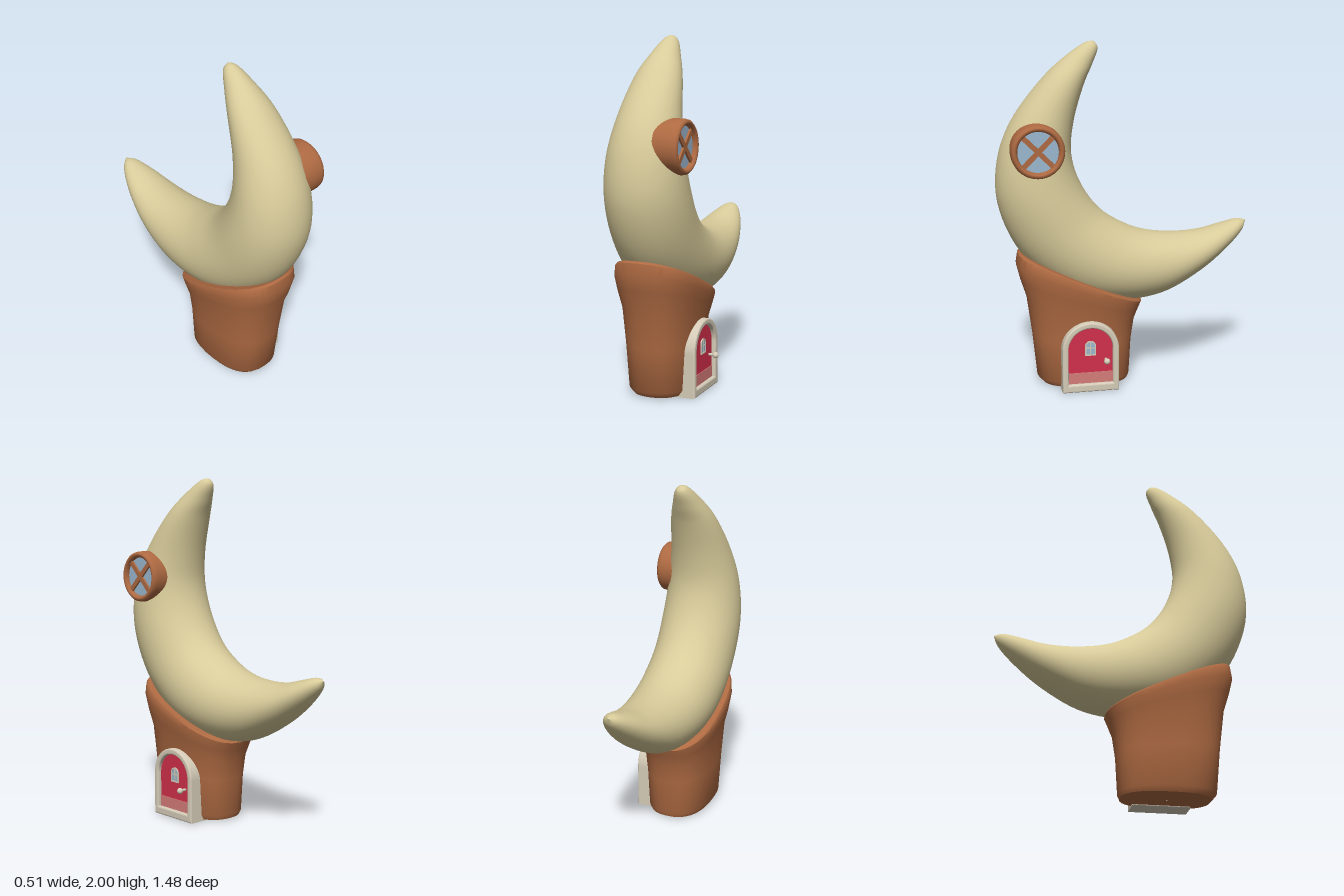
import * as THREE from 'three';
import { toCreasedNormals } from 'three/addons/utils/BufferGeometryUtils.js';

const paint = (name, color) => {
  const m = new THREE.MeshStandardMaterial({ color });
  m.name = name;
  return m;
};

// Skin over tilted oval rings; each ring is { a, b, rx, x }: two opposite points in the y-z plane and a half width
function loft(rings, sides, power = 1) {
  const pos = [], index = [];
  const bend = (v) => Math.sign(v) * Math.pow(Math.abs(v), power);
  rings.forEach(({ a, b, rx, x }) => {
    const cy = (a[1] + b[1]) / 2, cz = (a[0] + b[0]) / 2;
    for (let j = 0; j < sides; j++) {
      const t = (j / sides) * Math.PI * 2;
      const u = bend(Math.cos(t));
      pos.push(x + rx * bend(Math.sin(t)), cy + (a[1] - cy) * u, cz + (a[0] - cz) * u);
    }
  });
  for (let i = 0; i < rings.length - 1; i++) {
    for (let j = 0; j < sides; j++) {
      const k = (j + 1) % sides, p = i * sides, q = p + sides;
      index.push(p + j, q + j, p + k, q + j, q + k, p + k);
    }
  }
  const g = new THREE.BufferGeometry();
  g.setAttribute('position', new THREE.Float32BufferAttribute(pos, 3));
  g.setIndex(index);
  g.computeVertexNormals();
  return g;
}

// Doorway outline: straight sides with a round head
function arch(half, bottom, spring, Kind = THREE.Shape) {
  const s = new Kind();
  s.moveTo(-half, bottom);
  s.lineTo(half, bottom);
  s.lineTo(half, spring);
  s.absarc(0, spring, half, 0, Math.PI, false);
  s.closePath();
  return s;
}

export function createModel() {
  const moonMat = paint('pale yellow', 0xd8cb9a);
  const woodMat = paint('brown wood', 0xae6a42);
  const redMat = paint('door red', 0xd2304b);
  const pinkMat = paint('faded pink', 0xd57c78);
  const creamMat = paint('cream', 0xd6ccb8);
  const glassMat = paint('glass blue', 0x9cb8d0);

  const model = new THREE.Group();
  const add = (parent, name, geometry, material, x = 0, y = 0, z = 0) => {
    const m = new THREE.Mesh(geometry, material);
    m.name = name;
    m.position.set(x, y, z);
    parent.add(m);
    return m;
  };
  const extrude = (shape, depth, bevel = 0) => new THREE.ExtrudeGeometry(shape, {
    depth, curveSegments: 20, bevelEnabled: bevel > 0, bevelSize: bevel, bevelThickness: bevel, bevelSegments: 3,
  });

  // Crescent: outer z, y, inner z, y, half width
  const sections = [
    [0.172, 2.0, 0.168, 1.998, 0.002],
    [0.215, 1.993, 0.148, 1.965, 0.035],
    [0.34, 1.91, 0.18, 1.87, 0.085],
    [0.46, 1.8, 0.225, 1.77, 0.13],
    [0.645, 1.557, 0.29, 1.55, 0.18],
    [0.724, 1.345, 0.305, 1.37, 0.215],
    [0.73, 1.1, 0.25, 1.19, 0.235],
    [0.607, 0.804, 0.14, 1.037, 0.237],
    [0.36, 0.575, 0.0, 0.942, 0.237],
    [0.08, 0.49, -0.125, 0.894, 0.225],
    [-0.2, 0.51, -0.3, 0.872, 0.195],
    [-0.44, 0.63, -0.46, 0.88, 0.155],
    [-0.62, 0.77, -0.6, 0.915, 0.1],
    [-0.715, 0.87, -0.69, 0.935, 0.045],
    [-0.737, 0.922, -0.734, 0.926, 0.002],
  ];
  const outer = new THREE.CatmullRomCurve3(sections.map((s) => new THREE.Vector3(s[4], s[1], s[0])));
  const inner = new THREE.CatmullRomCurve3(sections.map((s) => new THREE.Vector3(0, s[3], s[2])));
  const moonRings = [];
  for (let i = 0; i <= 84; i++) {
    const o = outer.getPoint(i / 84), n = inner.getPoint(i / 84);
    moonRings.push({ a: [o.z, o.y], b: [n.z, n.y], rx: Math.max(o.x, 0.001), x: -0.018 });
  }
  add(model, 'crescentMoon', loft(moonRings, 40), moonMat);

  // Trunk, from the closed slanted top down to the floor: front z, y, back z, y, half width
  const trunkRings = [
    [0.27, 0.652, 0.25, 0.644, 0.01],
    [0.61, 0.805, -0.095, 0.49, 0.23],
    [0.622, 0.795, -0.1, 0.482, 0.237],
    [0.632, 0.73, -0.095, 0.47, 0.237],
    [0.61, 0.64, -0.078, 0.43, 0.225],
    [0.575, 0.53, -0.055, 0.37, 0.205],
    [0.545, 0.3, -0.037, 0.25, 0.193],
    [0.52, 0.045, -0.025, 0.035, 0.182],
    [0.49, 0.01, -0.015, 0.01, 0.165],
    [0.25, 0.01, 0.24, 0.01, 0.005],
  ].map(([az, ay, bz, by, rx]) => ({ a: [az, ay], b: [bz, by], rx, x: -0.018 }));
  add(model, 'trunkBase', toCreasedNormals(loft(trunkRings, 36, 0.8), 0.7), woodMat);

  // Door on the left side, drawn facing +z and turned to +x
  const door = new THREE.Group();
  door.name = 'door';
  door.rotation.y = Math.PI / 2;
  door.position.z = 0.235;
  model.add(door);
  const frame = arch(0.155, 0.012, 0.257);
  frame.holes.push(arch(0.14, 0.04, 0.257, THREE.Path));
  add(door, 'doorFrame', extrude(frame, 0.12, 0.01), creamMat, 0, 0, 0.09);
  add(door, 'doorLeaf', extrude(arch(0.145, 0.02, 0.257), 0.105), redMat, 0, 0, 0.09);
  add(door, 'doorKickPlate', new THREE.BoxGeometry(0.268, 0.088, 0.006), pinkMat, 0, 0.071, 0.196);

  // Small arched window in the door
  const peepFrame = arch(0.032, 0.218, 0.275);
  peepFrame.holes.push(arch(0.025, 0.225, 0.275, THREE.Path));
  add(door, 'doorWindowFrame', extrude(peepFrame, 0.008), creamMat, 0, 0, 0.194);
  add(door, 'doorWindowGlass', extrude(arch(0.027, 0.223, 0.275), 0.004), glassMat, 0, 0, 0.194);
  add(door, 'doorWindowBar', new THREE.BoxGeometry(0.006, 0.075, 0.006), creamMat, 0, 0.262, 0.198);
  add(door, 'doorWindowBar', new THREE.BoxGeometry(0.05, 0.006, 0.006), creamMat, 0, 0.264, 0.198);

  // Door knob
  add(door, 'doorKnob', new THREE.SphereGeometry(0.018, 20, 14), creamMat, 0.09, 0.19, 0.237);
  const stem = add(door, 'knobStem', new THREE.CylinderGeometry(0.008, 0.008, 0.04, 12), creamMat, 0.09, 0.19, 0.212);
  stem.rotation.x = Math.PI / 2;

  // Round window with a rounded rim and crossed bars
  const porthole = new THREE.Group();
  porthole.name = 'roundWindow';
  porthole.rotation.y = Math.PI / 2;
  porthole.position.set(0, 1.422, 0.518);
  model.add(porthole);
  const rimProfile = [
    [0.146, 0.09], [0.15, 0.15], [0.15, 0.205], [0.146, 0.225], [0.136, 0.235],
    [0.126, 0.234], [0.117, 0.225], [0.114, 0.21], [0.114, 0.15],
  ].map(([r, d]) => new THREE.Vector2(r, d));
  const rim = add(porthole, 'windowRim', new THREE.LatheGeometry(rimProfile, 48), woodMat);
  rim.rotation.x = Math.PI / 2;
  rim.material.side = THREE.DoubleSide;
  const glass = add(porthole, 'windowGlass', new THREE.CylinderGeometry(0.118, 0.118, 0.06, 40), glassMat, 0, 0, 0.178);
  glass.rotation.x = Math.PI / 2;
  for (const side of [-1, 1]) {
    const bar = add(porthole, 'windowBar', new THREE.BoxGeometry(0.235, 0.028, 0.016), woodMat, 0, 0, 0.212);
    bar.rotation.z = side * Math.PI / 4;
  }
  return model;
}
